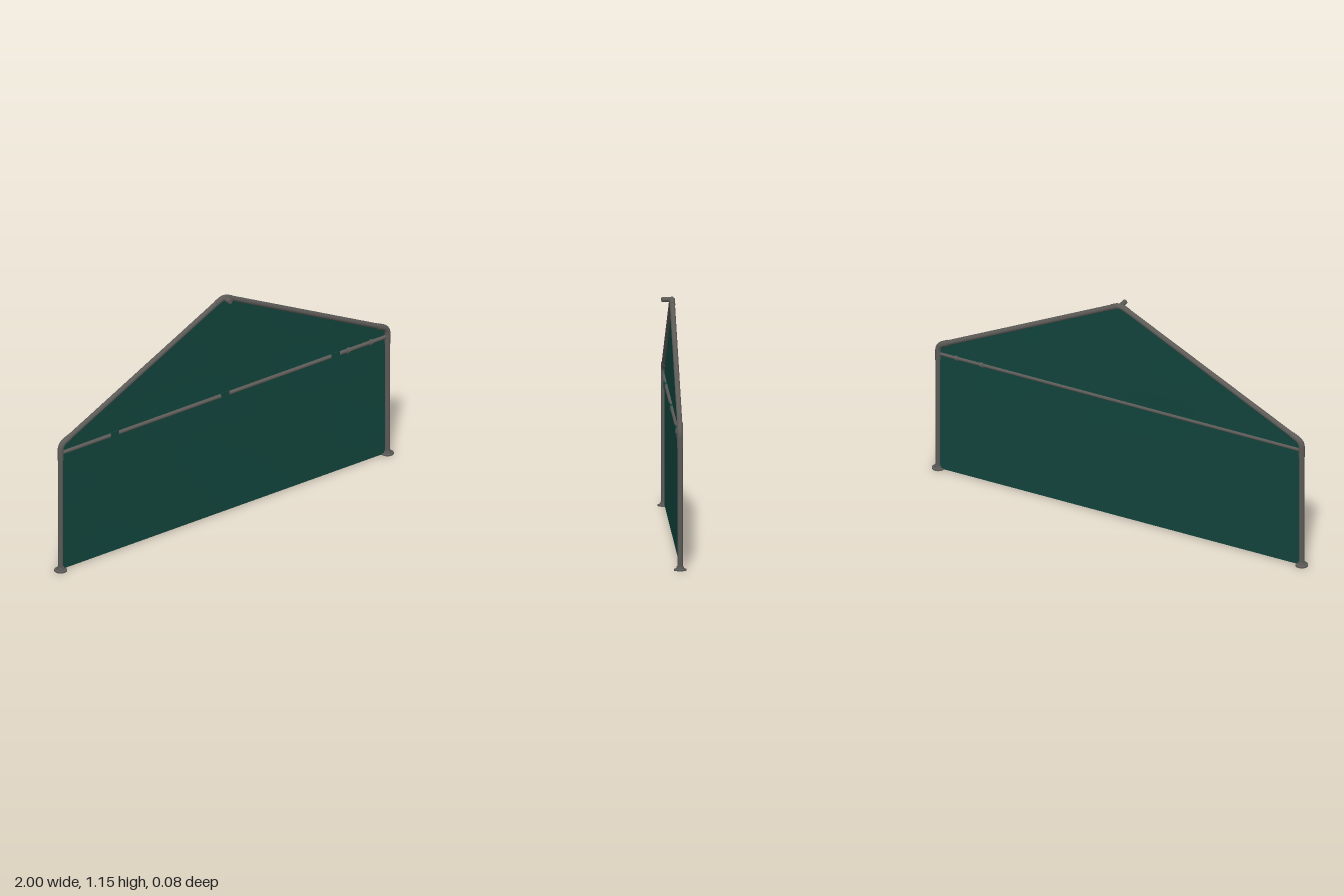
import * as THREE from 'three';

export function createModel() {
  const model = new THREE.Group();
  const steel = new THREE.MeshStandardMaterial({ color: 0x5b5a57 });
  steel.name = 'greySteel';
  const cloth = new THREE.MeshStandardMaterial({ color: 0x11433b, side: THREE.DoubleSide });
  cloth.name = 'darkGreenCloth';

  const Z = -0.01, X = 0.97, EAVE = 0.655, RIDGE = 1.132, BAR = 0.62;
  const v = (x, y, z = Z) => new THREE.Vector3(x, y, z);
  const add = (name, geometry, material = steel) => {
    const mesh = new THREE.Mesh(geometry, material);
    mesh.name = name;
    model.add(mesh);
    return mesh;
  };
  // Straight round bar between two points, with closed ends
  const rod = (name, a, b, r) => {
    const d = b.clone().sub(a);
    const mesh = add(name, new THREE.CylinderGeometry(r, r, d.length(), 20));
    mesh.position.copy(a).add(b).multiplyScalar(0.5);
    mesh.quaternion.setFromUnitVectors(v(0, 1, 0), d.normalize());
  };
  // Bent sleeve: two straight legs joined by a rounded corner
  const elbow = (name, start, corner, end, round, r) => {
    const toward = (p) => corner.clone().add(p.clone().sub(corner).setLength(round));
    const a = toward(start), b = toward(end);
    const path = new THREE.CurvePath();
    path.add(new THREE.LineCurve3(start, a));
    path.add(new THREE.QuadraticBezierCurve3(a, corner, b));
    path.add(new THREE.LineCurve3(b, end));
    add(name, new THREE.TubeGeometry(path, 28, r, 20));
    // End caps
    for (const [p, q] of [[start, a], [end, b]]) {
      const cap = add(name + 'Cap', new THREE.CircleGeometry(r, 20));
      cap.position.copy(p);
      cap.quaternion.setFromUnitVectors(v(0, 0, 1), p.clone().sub(q).normalize());
    }
  };

  const ridge = v(0, RIDGE + 0.006);
  for (const [side, s] of [['left', 1], ['right', -1]]) {
    const eave = v(s * X, EAVE + 0.008);
    const along = (t) => eave.clone().lerp(ridge, t);
    rod(side + 'Post', v(s * X, 0.005), v(s * X, EAVE - 0.03), 0.0125);
    rod(side + 'Rafter', along(0.04), along(0.98), 0.0125);
    elbow(side + 'EaveElbow', v(s * X, 0.585), eave, along(0.055), 0.03, 0.0145);

    // Base flange with a short collar
    const profile = [[0, 0], [0.03, 0], [0.03, 0.007], [0.019, 0.009], [0.016, 0.02], [0, 0.02]]
      .map(([x, y]) => new THREE.Vector2(x, y));
    const foot = add(side + 'Foot', new THREE.LatheGeometry(profile, 28).toNonIndexed());
    foot.geometry.computeVertexNormals();
    foot.position.set(s * X, 0, Z);
  }

  // Ridge fitting with forward stub
  elbow('ridgeElbow', v(-0.045, RIDGE - 0.016), ridge, v(0.045, RIDGE - 0.016), 0.03, 0.0138);
  rod('ridgeStub', v(0, RIDGE), v(0, RIDGE, 0.04), 0.012);

  // Horizontal bar with couplings near its left end
  rod('crossBar', v(-X, BAR), v(X, BAR), 0.0095);
  for (const x of [0.735, 0.87]) rod('barCoupling', v(x - 0.007, BAR), v(x + 0.007, BAR), 0.0135);

  // Cloth wall, shaped to the gable outline with gentle billows
  const wall = new THREE.PlaneGeometry(1, 1, 60, 40);
  const pos = wall.attributes.position;
  for (let i = 0; i < pos.count; i++) {
    const u = pos.getX(i) * 2, t = pos.getY(i) + 0.5;
    const top = EAVE + 0.002 + (RIDGE - EAVE - 0.005) * (1 - Math.abs(u));
    const y = 0.004 + t * (top - 0.004);
    const x = u * (0.968 - 0.025 * Math.max(0, 1 - y / 0.025));
    const inside = Math.sin(Math.PI * t) * (1 - u ** 4);
    const z = Z - 0.003 - 0.0025 * inside * (1 + Math.sin(u * 7 + t * 5)) * Math.min(1, Math.abs(y - BAR) / 0.15);
    pos.setXYZ(i, x, y, z);
  }
  wall.computeVertexNormals();
  add('clothWall', wall, cloth);

  // Loops of cloth wrapped over the front of the bar
  for (const x of [-0.655, 0, 0.655]) {
    const loop = add('clothLoop',
      new THREE.CylinderGeometry(0.0125, 0.0125, 0.046, 20, 1, true, -Math.PI / 2 - 0.25, Math.PI + 0.5), cloth);
    loop.rotation.z = Math.PI / 2;
    loop.position.set(x, BAR, Z);
    const flap = add('clothLoopFlap', new THREE.BoxGeometry(0.046, 0.034, 0.004), cloth);
    flap.position.set(x, BAR + 0.002, Z + 0.0105);
  }
  return model;
}
